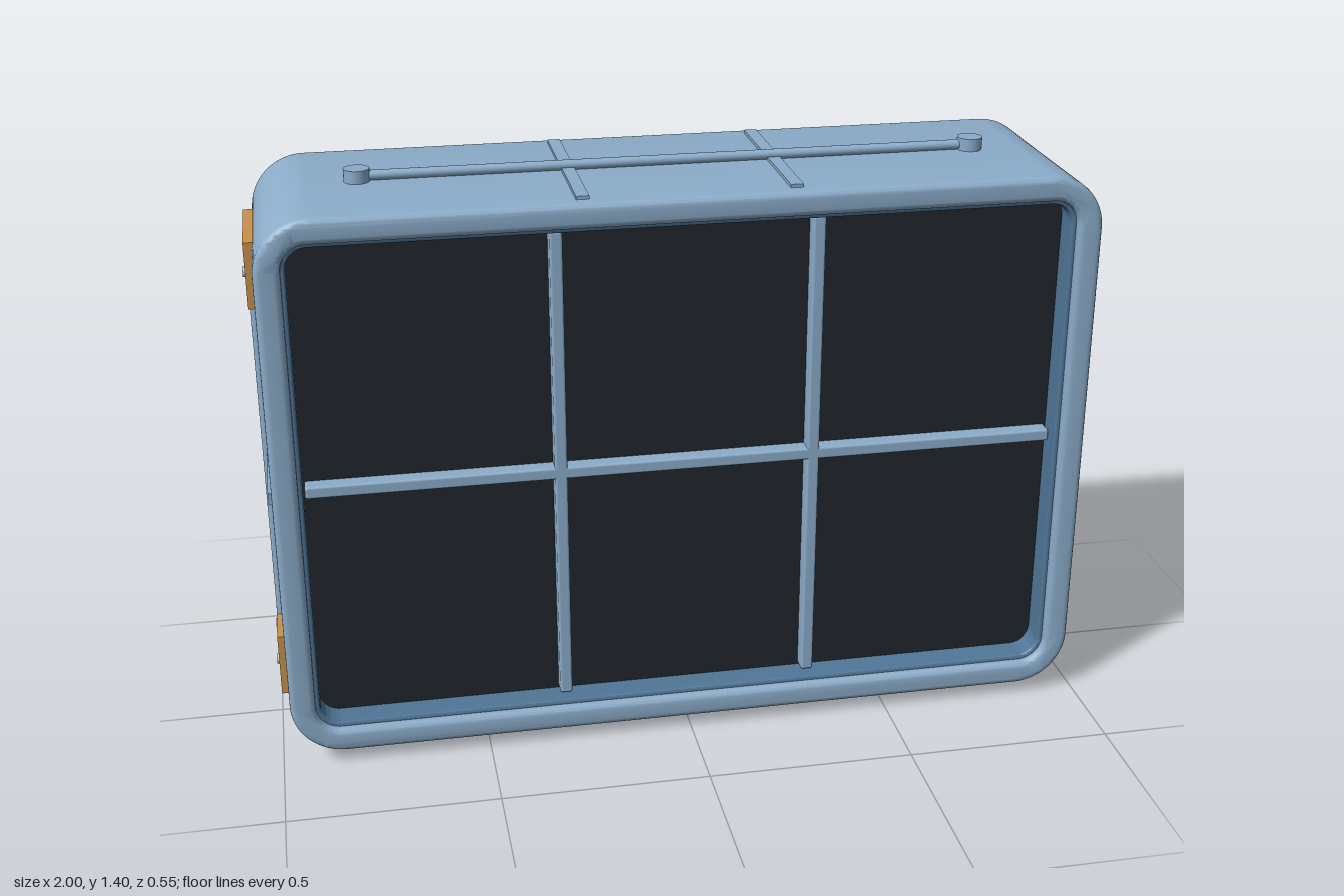
import * as THREE from 'three';
import { toCreasedNormals } from 'three/addons/utils/BufferGeometryUtils.js';
import { RoundedBoxGeometry } from 'three/addons/geometries/RoundedBoxGeometry.js';

const mat = (color) => new THREE.MeshStandardMaterial({ color });
const CY = 0.7; // height of the centre

// Rounded rectangle centred on the origin, drawn on a Shape or Path
function roundRect(path, hw, hh, r) {
  const q = Math.PI / 2;
  path.moveTo(hw, -hh + r);
  path.absarc(hw - r, hh - r, r, 0, q);
  path.absarc(-hw + r, hh - r, r, q, 2 * q);
  path.absarc(-hw + r, -hh + r, r, 2 * q, 3 * q);
  path.absarc(hw - r, -hh + r, r, 3 * q, 4 * q);
  path.closePath();
  return path;
}

// Hollow rounded frame, centred in z; sizes are those of the straight walls
function ring(outer, inner, depth, bevel) {
  const b = bevel;
  const shape = roundRect(new THREE.Shape(), outer[0] - b, outer[1] - b, outer[2] - b);
  shape.holes.push(roundRect(new THREE.Path(), inner[0] + b, inner[1] + b, inner[2] + b));
  const geo = new THREE.ExtrudeGeometry(shape, {
    depth: depth - 2 * b, curveSegments: 12,
    bevelEnabled: b > 0, bevelSize: b, bevelThickness: b, bevelSegments: 4,
  });
  geo.translate(0, 0, -depth / 2 + b);
  return toCreasedNormals(geo, 0.6);
}

export function createModel() {
  const model = new THREE.Group();
  const blue = mat(0x8bacc9), darkBlue = mat(0x4f7596), dark = mat(0x20242c);
  const tan = mat(0xc8914c), steel = mat(0xc4c8cc);

  const add = (name, geo, material, x, y, z) => {
    const mesh = new THREE.Mesh(geo, material);
    mesh.name = name;
    mesh.position.set(x, y, z);
    model.add(mesh);
    return mesh;
  };

  // Outer case, inner liner and dark panel
  add('caseFrame', ring([0.975, 0.67, 0.13], [0.915, 0.61, 0.06], 0.55, 0.015), blue, 0, CY, 0);
  add('innerLiner', ring([0.93, 0.625, 0.07], [0.904, 0.599, 0.05], 0.51, 0.006), darkBlue, 0, CY, 0);
  const panelShape = roundRect(new THREE.Shape(), 0.91, 0.605, 0.055);
  const panel = new THREE.ExtrudeGeometry(panelShape, { depth: 0.38, bevelEnabled: false, curveSegments: 10 });
  add('darkPanel', panel.translate(0, 0, -0.19), dark, 0, CY, 0);

  // Grille bars, front and back
  for (const s of [1, -1]) {
    add('horizontalBar', new RoundedBoxGeometry(1.8, 0.03, 0.045, 2, 0.006), blue, 0, CY, s * 0.205);
    for (const x of [-0.305, 0.305])
      add('verticalBar', new RoundedBoxGeometry(0.03, 1.19, 0.045, 2, 0.006), blue, x, CY, s * 0.205);
  }

  // Top and bottom: cross ribs and a long rod between two knobs
  const rod = (length) => new THREE.CylinderGeometry(0.012, 0.012, length, 16);
  for (const s of [1, -1]) {
    for (const x of [-0.245, 0.245])
      add('crossRib', new THREE.BoxGeometry(0.03, 0.02, 0.48), blue, x, CY + s * 0.668, 0);
    add('longRod', rod(1.46), blue, 0, CY + s * 0.682, 0).rotation.z = Math.PI / 2;
    for (const x of [-0.73, 0.73])
      add('rodKnob', new THREE.CylinderGeometry(0.03, 0.03, 0.04, 24), blue, x, CY + s * 0.68, 0);
  }

  // Sides: rib, upright rod and two screwed brackets
  for (const s of [1, -1]) {
    add('sideRib', new THREE.BoxGeometry(0.02, 0.03, 0.48), blue, s * 0.973, CY, 0);
    add('sideRod', rod(0.9), blue, s * 0.981, CY, 0);
    for (const y of [0.2, 1.2]) {
      add('bracket', new THREE.BoxGeometry(0.024, 0.157, 0.255), tan, s * 0.982, y, 0);
      for (const z of [-0.092, 0.092])
        add('screw', new THREE.CylinderGeometry(0.012, 0.012, 0.014, 16), steel, s * 0.993, y, z).rotation.z = Math.PI / 2;
    }
  }
  return model;
}
